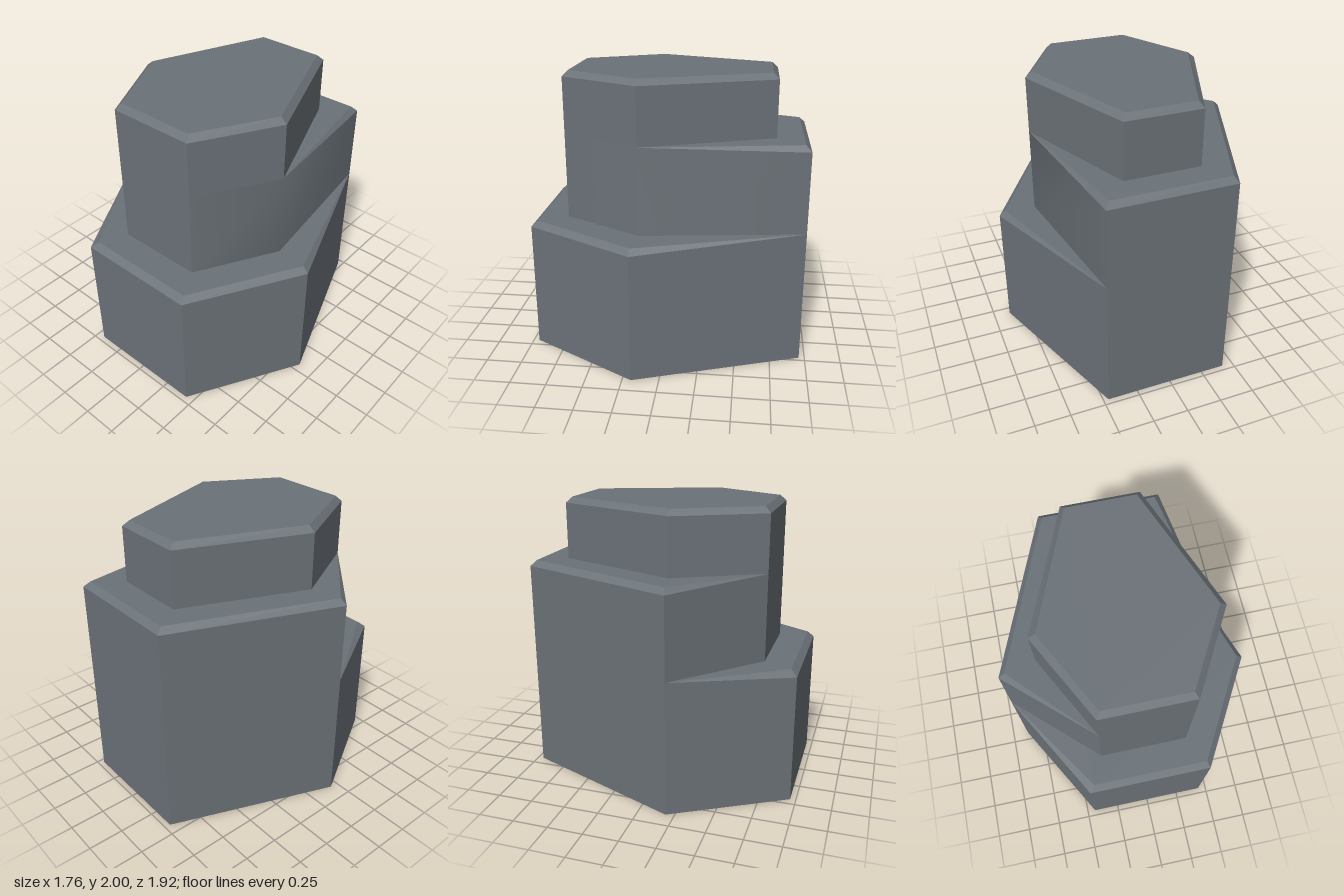
import * as THREE from 'three';
import { toCreasedNormals } from 'three/addons/utils/BufferGeometryUtils.js';

const stone = new THREE.MeshStandardMaterial({ color: 0x6b7278 });
stone.name = 'slateStone';

// Triangles from loops of points, skipping those that taper to nothing
function fromTriangles(tris) {
  const solid = tris.filter((t) => new THREE.Triangle(...t).getArea() > 1e-6);
  const geometry = new THREE.BufferGeometry().setFromPoints(solid.flat());
  geometry.computeVertexNormals();
  return geometry;
}

// Quads joining two loops
function band(lower, upper) {
  return lower.flatMap((a, i) => {
    const j = (i + 1) % lower.length;
    return [[a, lower[j], upper[j]], [a, upper[j], upper[i]]];
  });
}

// Flat fan over a convex loop
function fan(loop) {
  return loop.slice(2).map((p, i) => [loop[0], loop[i + 1], p]);
}

// One prism of rock: outer outline, bevelled rim and flat top
function tier(name, y0, y1, outer, inner, bevel = 0.04) {
  const top = inner.map(([x, z]) => new THREE.Vector3(x, y1, z));
  const base = outer.map(([x, z]) => new THREE.Vector3(x, y0, z));
  // The bevel vanishes where both outlines share a corner
  const rim = outer.map(([x, z], i) => {
    const flush = x === inner[i][0] && z === inner[i][1];
    return new THREE.Vector3(x, flush ? y1 : y1 - bevel, z);
  });
  const group = new THREE.Group();
  group.name = name;
  const add = (part, geometry) => {
    const mesh = new THREE.Mesh(geometry, stone);
    mesh.name = name + part;
    group.add(mesh);
  };
  add('Walls', toCreasedNormals(fromTriangles(band(base, rim)), 0.68));
  add('Bevel', fromTriangles(band(rim, top)));
  add('Top', fromTriangles(fan(top)));
  if (y0 === 0) add('Underside', fromTriangles(fan([...base].reverse())));
  return group;
}

export function createModel() {
  const model = new THREE.Group();
  model.name = 'steppedRockColumn';

  // Corners shared between tiers, as [x, z]
  const left = [-0.88, 0.19], backRight = [0.465, -0.96], backLeft = [-0.42, -0.96];
  const frontLeft = [-0.31, 0.72], frontRight = [0.31, 0.72], right = [0.62, 0.165];

  // Corners run front left, front right, right, back right, back left, left
  model.add(
    tier('lowerTier', 0, 0.955,
      [[-0.44, 0.96], [0.44, 0.96], [0.88, 0.19], backRight, backLeft, left],
      [[-0.4, 0.915], [0.42, 0.915], [0.835, 0.185], backRight, backLeft, left]),
    tier('middleTier', 0.955, 1.565,
      [frontLeft, frontRight, right, backRight, backLeft, left],
      [frontLeft, frontRight, right, [0.43, -0.92], [-0.395, -0.92], [-0.835, 0.18]]),
    tier('upperTier', 1.565, 2,
      [frontLeft, frontRight, right, [0.27, -0.735], [-0.265, -0.735], [-0.62, 0.13]],
      [[-0.285, 0.68], [0.285, 0.68], [0.575, 0.165], [0.24, -0.695], [-0.24, -0.695], [-0.57, 0.13]]),
  );
  return model;
}
